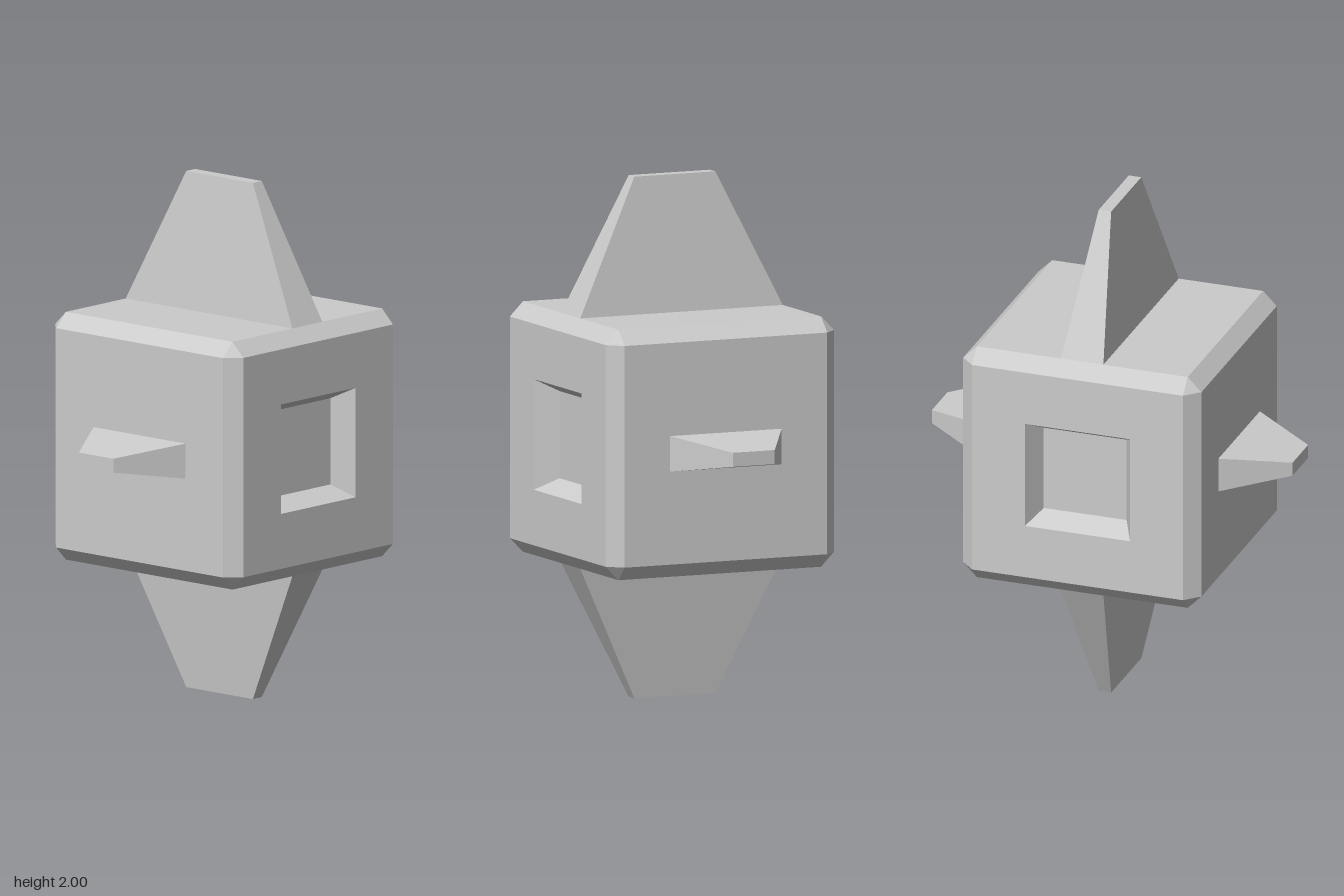
import * as THREE from 'three';

const material = new THREE.MeshStandardMaterial({ color: 0xcccccc, flatShading: true });

const HALF = 0.48;   // half width of the cube
const FLAT = 0.425;  // half width of a face inside its chamfer

// Chamfered cube with a sunken square pocket in each x side, lofted along x.
// Each ring is an octagon: [x, half size, half length of the straight edge].
function bodyGeometry() {
  const side = [
    [0.393, 0, 0],          // pocket floor centre
    [0.393, 0.167, 0.167],  // pocket floor edge
    [HALF, 0.212, 0.212],   // pocket opening
    [HALF, FLAT, FLAT],     // side face edge
    [FLAT, HALF, FLAT],     // chamfer
  ];
  const mirrored = side.map(([x, h, c]) => [-x, h, c]).reverse();
  const rings = [...side, ...mirrored].map(([x, h, c]) =>
    [[h, -c], [h, c], [c, h], [-c, h], [-h, c], [-h, -c], [-c, -h], [c, -h]]
      .map(([y, z]) => new THREE.Vector3(x, y, z)));

  const positions = [];
  const addTriangle = (a, b, c) => {
    if (new THREE.Triangle(a, b, c).getArea() < 1e-7) return; // collapsed corner
    for (const p of [a, b, c]) positions.push(p.x, p.y, p.z);
  };
  for (let i = 0; i < rings.length - 1; i++) {
    for (let j = 0; j < 8; j++) {
      const k = (j + 1) % 8;
      addTriangle(rings[i][j], rings[i + 1][j], rings[i + 1][k]);
      addTriangle(rings[i][j], rings[i + 1][k], rings[i][k]);
    }
  }
  const geometry = new THREE.BufferGeometry();
  geometry.setAttribute('position', new THREE.Float32BufferAttribute(positions, 3));
  geometry.computeVertexNormals();
  return geometry;
}

// Tapered blade rising along +y from the cube face to `tip`.
function bladeGeometry(baseX, baseZ, tipX, tipZ, tip) {
  const geometry = new THREE.BoxGeometry(2, 1, 2).toNonIndexed();
  const p = geometry.attributes.position;
  for (let i = 0; i < p.count; i++) {
    const top = p.getY(i) > 0;
    p.setXYZ(i, p.getX(i) * (top ? tipX : baseX), top ? tip : HALF, p.getZ(i) * (top ? tipZ : baseZ));
  }
  geometry.computeVertexNormals();
  return geometry;
}

export function createModel() {
  const model = new THREE.Group();
  model.name = 'bladedCube';

  const add = (name, geometry, turn = 0) => {
    const mesh = new THREE.Mesh(geometry, material);
    mesh.name = name;
    mesh.position.y = 1;
    mesh.rotation.x = turn;
    model.add(mesh);
  };

  add('cubeBody', bodyGeometry());

  // Large blades above and below
  const large = bladeGeometry(FLAT, 0.085, 0.17, 0.025, 1);
  add('topBlade', large);
  add('bottomBlade', large, Math.PI);

  // Small blades in front and behind
  const small = bladeGeometry(0.234, 0.068, 0.088, 0.027, 0.727);
  add('frontBlade', small, Math.PI / 2);
  add('backBlade', small, -Math.PI / 2);

  return model;
}
